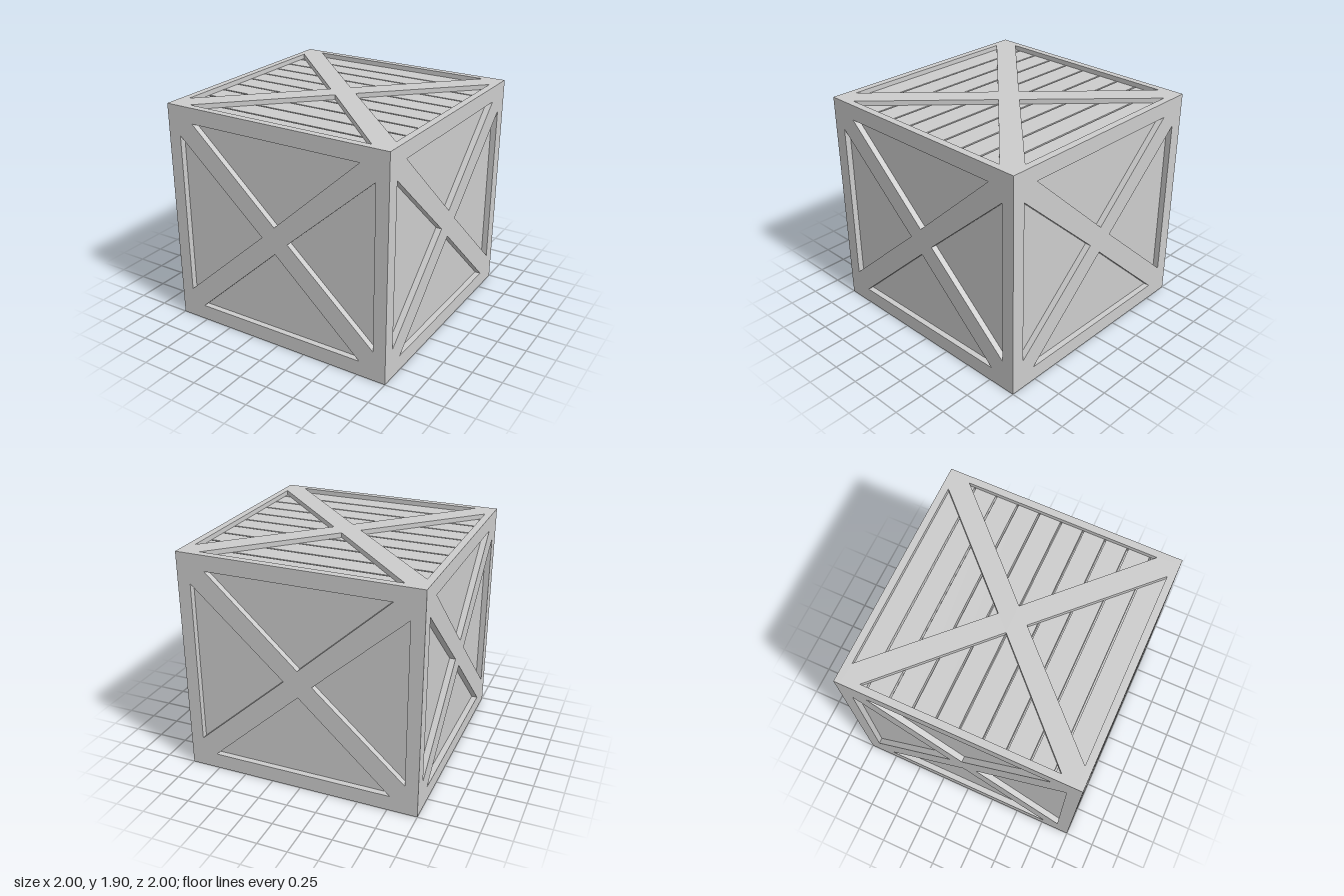
import * as THREE from 'three';

const WIDTH = 2, HEIGHT = 1.9, DEPTH = 0.05;
const material = new THREE.MeshStandardMaterial({ color: 0xcccccc, flatShading: true });

function addMesh(parent, name, geometry, x = 0, y = 0, z = 0) {
  const mesh = new THREE.Mesh(geometry, material);
  mesh.name = name;
  mesh.position.set(x, y, z);
  parent.add(mesh);
  return mesh;
}

const polygon = (Type, points) => new Type(points.map(([x, y]) => new THREE.Vector2(x, y)));

// A rectangular board with triangular openings that leave a border and an X brace
function bracedFrame(halfWidth, bottom, top, holes, depth) {
  const shape = polygon(THREE.Shape, [
    [-halfWidth, bottom], [halfWidth, bottom], [halfWidth, top], [-halfWidth, top],
  ]);
  shape.holes = holes.map((points) => polygon(THREE.Path, points));
  return new THREE.ExtrudeGeometry(shape, { depth, bevelEnabled: false });
}

const sideHoles = [
  [[-0.76, 1.77], [0.76, 1.77], [0, 1.07]],
  [[-0.77, 0.13], [0, 0.84], [0.77, 0.13]],
  [[-0.89, 0.26], [-0.89, 1.65], [-0.12, 0.955]],
  [[0.89, 0.26], [0.12, 0.955], [0.89, 1.65]],
];

const lidHoles = [
  [[-0.82, 0.94], [0.82, 0.94], [0, 0.12]],
  [[-0.82, -0.94], [0, -0.12], [0.82, -0.94]],
  [[-0.94, -0.81], [-0.94, 0.81], [-0.12, 0]],
  [[0.94, -0.81], [0.12, 0], [0.94, 0.81]],
];

export function createModel() {
  const crate = new THREE.Group();
  crate.name = 'crate';
  const inner = WIDTH - 2 * DEPTH;
  const slatTop = HEIGHT - 0.04, coreTop = slatTop - 0.05;

  // Recessed panels and floor
  addMesh(crate, 'innerPanels', new THREE.BoxGeometry(inner, coreTop, inner), 0, coreTop / 2, 0);

  // Four braced sides; the left and right ones fit between the front and back
  ['front', 'left', 'back', 'right'].forEach((side, i) => {
    const halfWidth = i % 2 ? inner / 2 : WIDTH / 2;
    const pivot = new THREE.Group();
    pivot.name = `${side}Side`;
    pivot.rotation.y = i * Math.PI / 2;
    addMesh(pivot, `${side}Frame`, bracedFrame(halfWidth, 0, HEIGHT, sideHoles, DEPTH), 0, 0, inner / 2);
    crate.add(pivot);
  });

  // Lid slats, separated by narrow gaps
  const count = 10, pitch = 0.19, gap = 0.014;
  for (let i = 0; i < count; i++) {
    const z = (i - (count - 1) / 2) * pitch;
    addMesh(crate, `lidSlat${i + 1}`, new THREE.BoxGeometry(inner, slatTop - coreTop, pitch - gap),
      0, (slatTop + coreTop) / 2, z);
  }

  // Braced lid frame on top of the slats
  const lid = addMesh(crate, 'lidFrame',
    bracedFrame(inner / 2, -inner / 2, inner / 2, lidHoles, HEIGHT - slatTop), 0, slatTop, 0);
  lid.rotation.x = -Math.PI / 2;

  return crate;
}
